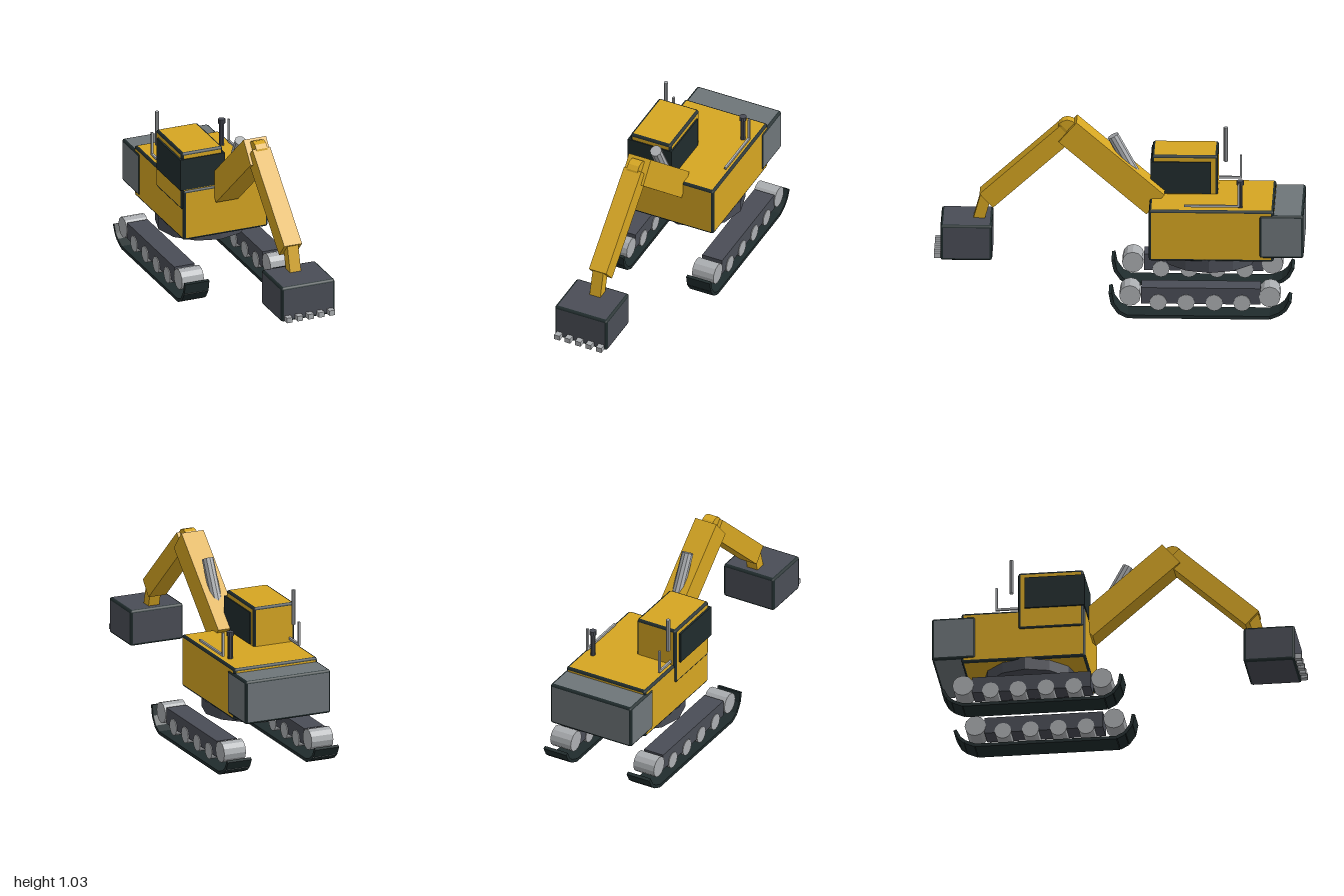
import * as THREE from 'three';
import { RoundedBoxGeometry } from 'three/addons/geometries/RoundedBoxGeometry.js';

function mat(name, color) {
  const m = new THREE.MeshStandardMaterial({ color });
  m.name = name;
  return m;
}

export function createModel() {
  const yellow = mat('yellow paint', 0xd6a622);
  const trim = mat('dark trim', 0x202c2d);
  const steel = mat('dark steel', 0x4a4d56);
  const grey = mat('counterweight grey', 0x6e7579);
  const metal = mat('light metal', 0xabaeb1);

  const model = new THREE.Group();
  model.name = 'excavator';

  function add(name, geometry, material, parent = model) {
    const mesh = new THREE.Mesh(geometry, material);
    mesh.name = name;
    parent.add(mesh);
    return mesh;
  }

  // Box given by its [min, max] on each axis
  function box(name, [x0, x1], [y0, y1], [z0, z1], material, parent) {
    const m = add(name, new THREE.BoxGeometry(x1 - x0, y1 - y0, z1 - z0), material, parent);
    m.position.set((x0 + x1) / 2, (y0 + y1) / 2, (z0 + z1) / 2);
    return m;
  }

  // Box with bevelled edges in the trim colour
  function trimmedBox(name, [x0, x1], [y0, y1], [z0, z1], material) {
    const g = new RoundedBoxGeometry(x1 - x0, y1 - y0, z1 - z0, 1, 0.014);
    const n = g.attributes.normal;
    const faces = [], bevels = [];
    for (let i = 0; i < n.count; i += 3) {
      const flat = [i, i + 1, i + 2].every((k) =>
        Math.max(Math.abs(n.getX(k)), Math.abs(n.getY(k)), Math.abs(n.getZ(k))) > 0.999);
      (flat ? faces : bevels).push(i, i + 1, i + 2);
    }
    g.setIndex([...faces, ...bevels]);
    g.clearGroups();
    g.addGroup(0, faces.length, 0);
    g.addGroup(faces.length, bevels.length, 1);
    const m = add(name, g, [material, trim]);
    m.position.set((x0 + x1) / 2, (y0 + y1) / 2, (z0 + z1) / 2);
    return m;
  }

  // Straight bar between two [z, y] points
  function beam(name, [za, ya], [zb, yb], width, thick, material, parent) {
    const dz = zb - za, dy = yb - ya;
    const m = add(name, new THREE.BoxGeometry(width, thick, Math.hypot(dz, dy)), material, parent);
    m.position.set(0, (ya + yb) / 2, (za + zb) / 2);
    m.rotation.x = -Math.atan2(dy, dz);
    return m;
  }

  // Upright faceted cylinder from y0 to y1
  function post(name, r, x, z, y0, y1, sides, material, parent) {
    const g = new THREE.CylinderGeometry(r, r, y1 - y0, sides).toNonIndexed();
    g.computeVertexNormals();
    const m = add(name, g, material, parent);
    m.position.set(x, (y0 + y1) / 2, z);
    return m;
  }

  // Cylinder lying across the model
  function roller(name, r, width, z, y, material, parent) {
    const m = post(name, r, 0, z, y - width / 2, y + width / 2, 12, material, parent);
    m.rotation.z = Math.PI / 2;
    return m;
  }

  // Undercarriage: two open tracks with frame and rollers
  const belt = [[0.042, 0.145], [0.03, 0.085], [-0.005, 0.035], [-0.05, 0.012],
    [-0.82, 0.012], [-0.875, 0.035], [-0.905, 0.06], [-0.93, 0.108]];
  for (const [side, x] of [['left', 0.26], ['right', -0.26]]) {
    const track = new THREE.Group();
    track.name = side + 'Track';
    track.position.x = x;
    model.add(track);
    for (let i = 0; i < belt.length - 1; i++) {
      beam('trackPlate', belt[i], belt[i + 1], 0.142, 0.018, trim, track);
    }
    box('trackFrame', [-0.06, 0.06], [0.085, 0.176], [-0.77, -0.125], steel, track);
    for (const z of [-0.065, -0.82]) roller('endRoller', 0.058, 0.128, z, 0.13, metal, track);
    for (const z of [-0.217, -0.368, -0.52, -0.67]) {
      roller('trackRoller', 0.046, 0.128, z, 0.093, metal, track);
    }
  }

  // Turntable, body, counterweight
  post('turntable', 0.255, 0, -0.49, 0.24, 0.31, 12, steel);
  trimmedBox('body', [-0.249, 0.249], [0.302, 0.595], [-0.84, -0.163], yellow);
  trimmedBox('counterweight', [-0.254, 0.254], [0.325, 0.571], [-1, -0.76], grey);

  // Cab with one wraparound glass block
  trimmedBox('cab', [-0.256, -0.012], [0.48, 0.815], [-0.53, -0.172], yellow);
  box('cabGlass', [-0.267, -0.004], [0.6, 0.78], [-0.492, -0.166], trim);

  // Roof fittings
  post('antenna', 0.012, -0.232, -0.567, 0.705, 0.9, 8, metal);
  post('exhaustPipe', 0.014, 0.187, -0.656, 0.59, 0.73, 10, steel);
  post('exhaustCap', 0.02, 0.187, -0.656, 0.724, 0.748, 10, steel);
  for (const x of [-0.226, 0.226]) {
    box('handrailBar', [x - 0.006, x + 0.006], [0.609, 0.621], [-0.655, -0.355], metal);
    box('handrailPost', [x - 0.006, x + 0.006], [0.609, 0.743], [-0.655, -0.643], metal);
  }

  // Boom, stick and link
  beam('boom', [-0.195, 0.56], [0.28, 0.971], 0.132, 0.148, yellow);
  beam('stick', [0.72, 0.567], [0.285, 0.963], 0.104, 0.107, yellow);
  roller('elbowPin', 0.055, 0.066, 0.282, 0.975, yellow);
  beam('bucketLink', [0.722, 0.592], [0.764, 0.44], 0.064, 0.06, yellow);

  // Hydraulic ram on the boom
  const ram = post('hydraulicRam', 0.032, 0, -0.055, 0.605, 0.96, 10, metal);
  ram.rotation.x = Math.atan2(0.125, 0.23);
  ram.position.y = 0.775;
  ram.position.z = -0.048;

  // Bucket and teeth
  trimmedBox('bucket', [-0.158, 0.158], [0.26, 0.462], [0.685, 0.965], steel);
  for (let i = -2; i <= 2; i++) {
    const x = i * 0.0625;
    box('bucketTooth', [x - 0.0165, x + 0.0165], [0.268, 0.297], [0.95, 1], metal);
  }
  return model;
}
